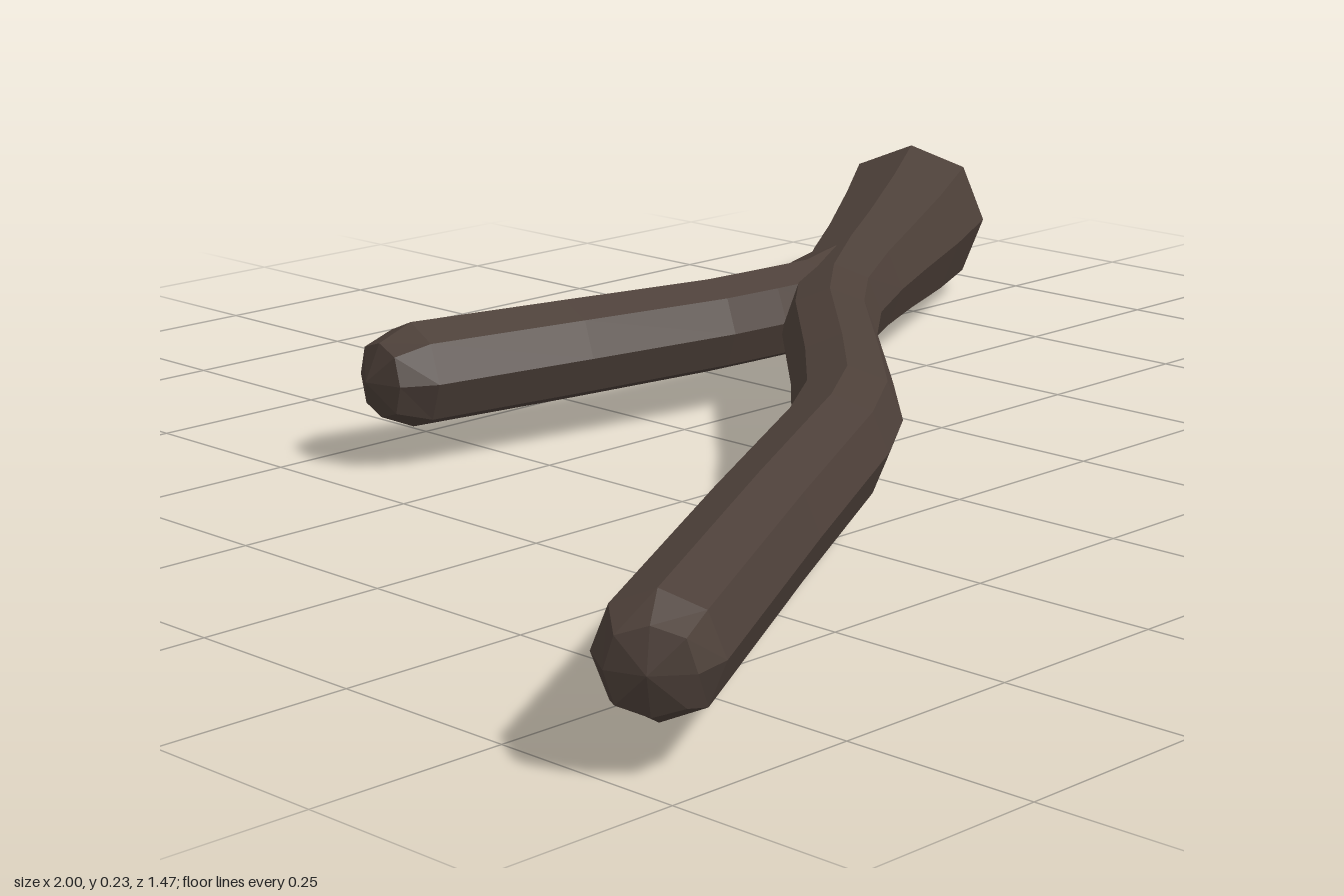
import * as THREE from 'three';

const SIDES = 8;
const AXIS_Y = 0.118;

// Lofts octagonal rings along a level path of [x, z, radius, diagonal factor]; radius 0 closes an end.
function loft(path) {
  const positions = [];
  const index = [];
  path.forEach(([x, z, r, diagonal = 0.72], i) => {
    const before = path[Math.max(i - 1, 0)];
    const after = path[Math.min(i + 1, path.length - 1)];
    const t = new THREE.Vector2(after[0] - before[0], after[1] - before[1]).normalize();
    for (let k = 0; k < SIDES; k++) {
      const a = (k / SIDES) * Math.PI * 2;
      const s = k % 2 ? r * diagonal * Math.SQRT2 : r;
      const side = Math.cos(a) * s;
      positions.push(x + t.y * side, AXIS_Y + Math.sin(a) * s, z - t.x * side);
    }
  });
  for (let i = 0; i < path.length - 1; i++) {
    for (let k = 0; k < SIDES; k++) {
      const a = i * SIDES + k;
      const a1 = i * SIDES + ((k + 1) % SIDES);
      const b = a + SIDES;
      const b1 = a1 + SIDES;
      if (path[i][2] > 0) index.push(a, a1, b1);
      if (path[i + 1][2] > 0) index.push(a, b1, b);
    }
  }
  const geometry = new THREE.BufferGeometry();
  geometry.setAttribute('position', new THREE.Float32BufferAttribute(positions, 3));
  geometry.setIndex(index);
  const faceted = geometry.toNonIndexed();
  faceted.computeVertexNormals();
  return faceted;
}

export function createModel() {
  const group = new THREE.Group();
  group.name = 'forkedBranch';
  const bark = new THREE.MeshStandardMaterial({ color: 0x4d4039, flatShading: true });
  bark.name = 'dark bark';

  const add = (name, path) => {
    const mesh = new THREE.Mesh(loft(path), bark);
    mesh.name = name;
    group.add(mesh);
  };

  // Main stick, from the thin end to the thick end
  add('mainStick', [
    [-0.985, 0.70, 0],
    [-0.973, 0.693, 0.048, 0.76],
    [-0.932, 0.662, 0.071],
    [-0.56, 0.44, 0.071],
    [-0.25, 0.26, 0.071],
    [-0.13, 0.175, 0.07],
    [0.0, 0.045, 0.067],
    [0.19, -0.155, 0.066],
    [0.30, -0.25, 0.068],
    [0.43, -0.337, 0.077],
    [0.55, -0.41, 0.086],
    [0.72, -0.515, 0.103],
    [0.872, -0.615, 0.117],
    [0.95, -0.67, 0.085, 0.78],
    [0.977, -0.688, 0],
  ]);

  // Side twig, ending inside the main stick
  add('sideTwig', [
    [-0.425, -0.411, 0],
    [-0.404, -0.406, 0.05, 0.76],
    [-0.355, -0.40, 0.071],
    [-0.12, -0.356, 0.069],
    [0.11, -0.315, 0.066],
    [0.20, -0.309, 0.066],
    [0.30, -0.304, 0.066],
    [0.42, -0.34, 0.07],
    [0.50, -0.38, 0],
  ]);

  return group;
}
